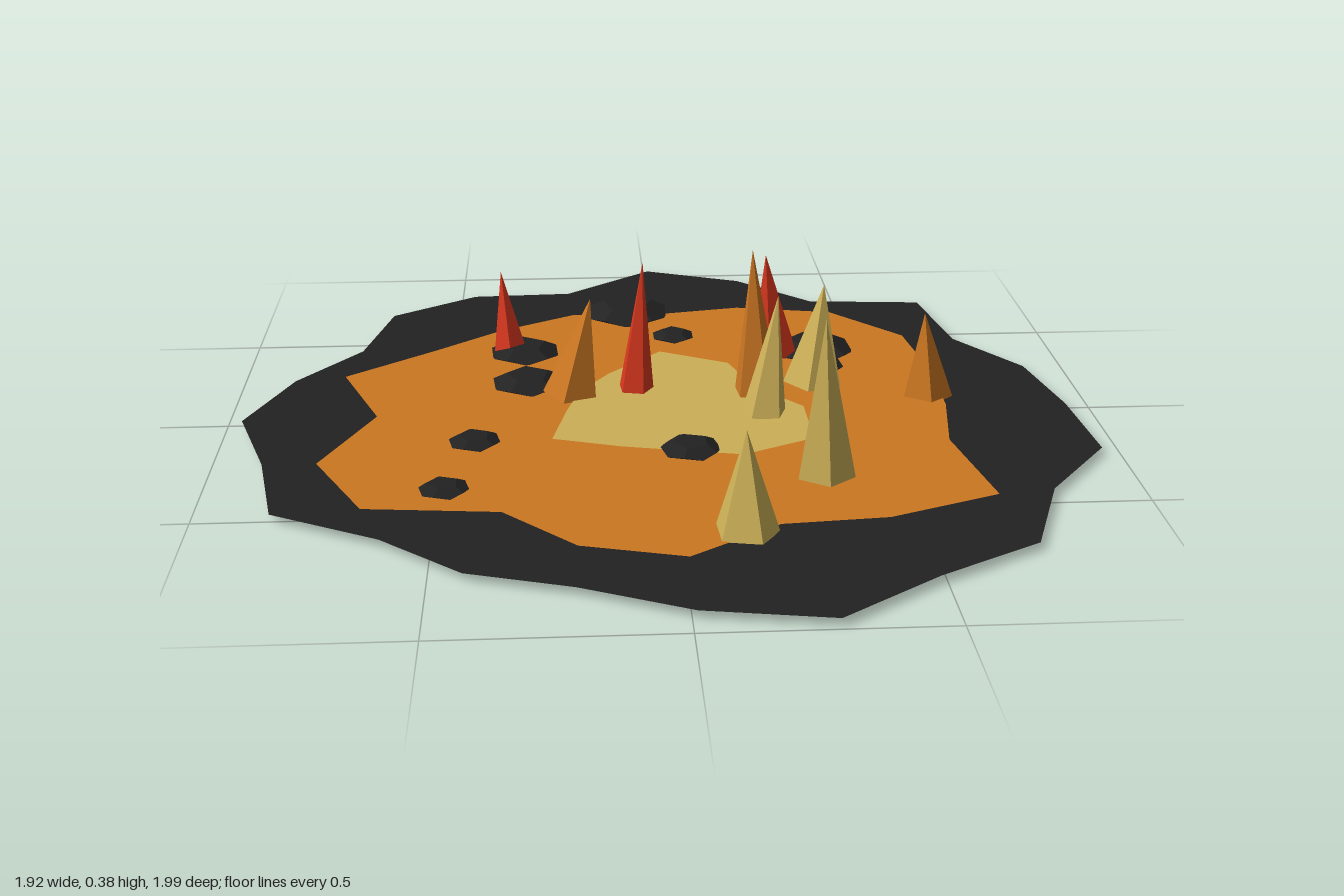
import * as THREE from 'three';

const mat = (name, color, extra = {}) => {
  const m = new THREE.MeshStandardMaterial({ color, flatShading: true, ...extra });
  m.name = name;
  return m;
};

// Flat irregular disc from radii at equal angles, clockwise from the back
function pool(name, radii, y, material) {
  const points = radii.map((r, i) => {
    const a = (i / radii.length) * Math.PI * 2;
    return new THREE.Vector2(r * Math.sin(a), r * Math.cos(a));
  });
  const geo = new THREE.ShapeGeometry(new THREE.Shape(points));
  geo.rotateX(-Math.PI / 2);
  const mesh = new THREE.Mesh(geo, material);
  mesh.name = name;
  mesh.position.set(0.01, y, 0.013);
  return mesh;
}

// Five-sided spike leaning from its base centre to its tip
function flame(name, [bx, bz, r, tx, h, tz], turn, material) {
  const base = new THREE.Vector3(bx, 0.024, bz);
  const axis = new THREE.Vector3(tx, h, tz).sub(base);
  const length = axis.length();
  const geo = new THREE.ConeGeometry(r, length, 5);
  geo.rotateY(turn);
  geo.translate(0, length / 2, 0);
  const mesh = new THREE.Mesh(geo, material);
  mesh.name = name;
  mesh.position.copy(base);
  mesh.quaternion.setFromUnitVectors(new THREE.Vector3(0, 1, 0), axis.normalize());
  return mesh;
}

export function createModel() {
  const group = new THREE.Group();
  group.name = 'firePit';

  const side = { side: THREE.DoubleSide };
  const char = mat('charcoal', 0x222222, side);
  const orange = mat('orange', 0xcc7722, side);
  const yellow = mat('paleYellow', 0xccb057, side);
  const red = mat('red', 0xd9381e);

  // Layered ground: scorched rim, orange glow, hot centre
  group.add(pool('scorchedGround', [
    1.01, 0.945, 0.85, 1.006, 0.868, 0.918, 0.93, 0.98, 0.911, 0.988, 0.952, 1.012,
    0.934, 0.862, 0.883, 0.868, 0.978, 0.929, 0.976, 0.915, 0.855, 0.965, 0.949, 0.862,
  ], 0.026, char));
  group.add(pool('orangeGlow', [
    0.645, 0.721, 0.788, 0.773, 0.687, 0.648, 0.648, 0.822, 0.715, 0.628,
    0.728, 0.704, 0.632, 0.819, 0.818, 0.669, 0.805, 0.695, 0.675, 0.686,
  ], 0.03, orange));
  group.add(pool('hotCentre', [
    0.368, 0.326, 0.247, 0.315, 0.364, 0.302, 0.23, 0.235, 0.309, 0.235, 0.235, 0.262,
  ], 0.033, yellow));

  // Flames: base x, base z, radius, tip x, tip height, tip z
  const flames = [
    ['yellowFlame', yellow, [
      [0.13, 0.635, 0.07, 0.13, 0.24, 0.615],
      [0.325, 0.38, 0.066, 0.315, 0.388, 0.39],
      [0.37, -0.15, 0.074, 0.39, 0.268, -0.165],
      [0.23, 0.04, 0.054, 0.262, 0.3, -0.003],
    ]],
    ['orangeFlame', orange, [
      [0.225, -0.085, 0.057, 0.21, 0.385, -0.082],
      [0.625, -0.06, 0.062, 0.612, 0.232, -0.055],
      [-0.21, -0.105, 0.07, -0.165, 0.265, -0.105],
    ]],
    ['redFlame', red, [
      [-0.06, -0.12, 0.044, -0.042, 0.345, -0.125],
      [-0.36, -0.38, 0.044, -0.38, 0.235, -0.4],
      [0.3, -0.345, 0.063, 0.265, 0.3, -0.297],
    ]],
  ];
  for (const [name, material, list] of flames) {
    list.forEach((f, i) => group.add(flame(name + (i + 1), f, i * 0.9 + 0.4, material)));
  }

  // Flattened coals: x, z, radius
  [
    [-0.06, -0.645, 0.108], [0.05, -0.465, 0.053], [-0.325, -0.37, 0.086],
    [-0.315, 0.17 * -1, 0.086], [0.395, -0.355, 0.1], [0.395, -0.24, 0.06],
    [-0.43, 0.17, 0.058], [-0.485, 0.413, 0.054], [0.047, 0.235, 0.068],
  ].forEach(([x, z, r], i) => {
    const coal = new THREE.Mesh(new THREE.DodecahedronGeometry(r), char);
    coal.geometry.rotateX(0.55);
    coal.geometry.rotateY(i * 1.3);
    coal.name = 'coal' + (i + 1);
    coal.scale.y = 0.3;
    coal.position.set(x, 0.034, z);
    group.add(coal);
  });

  return group;
}
